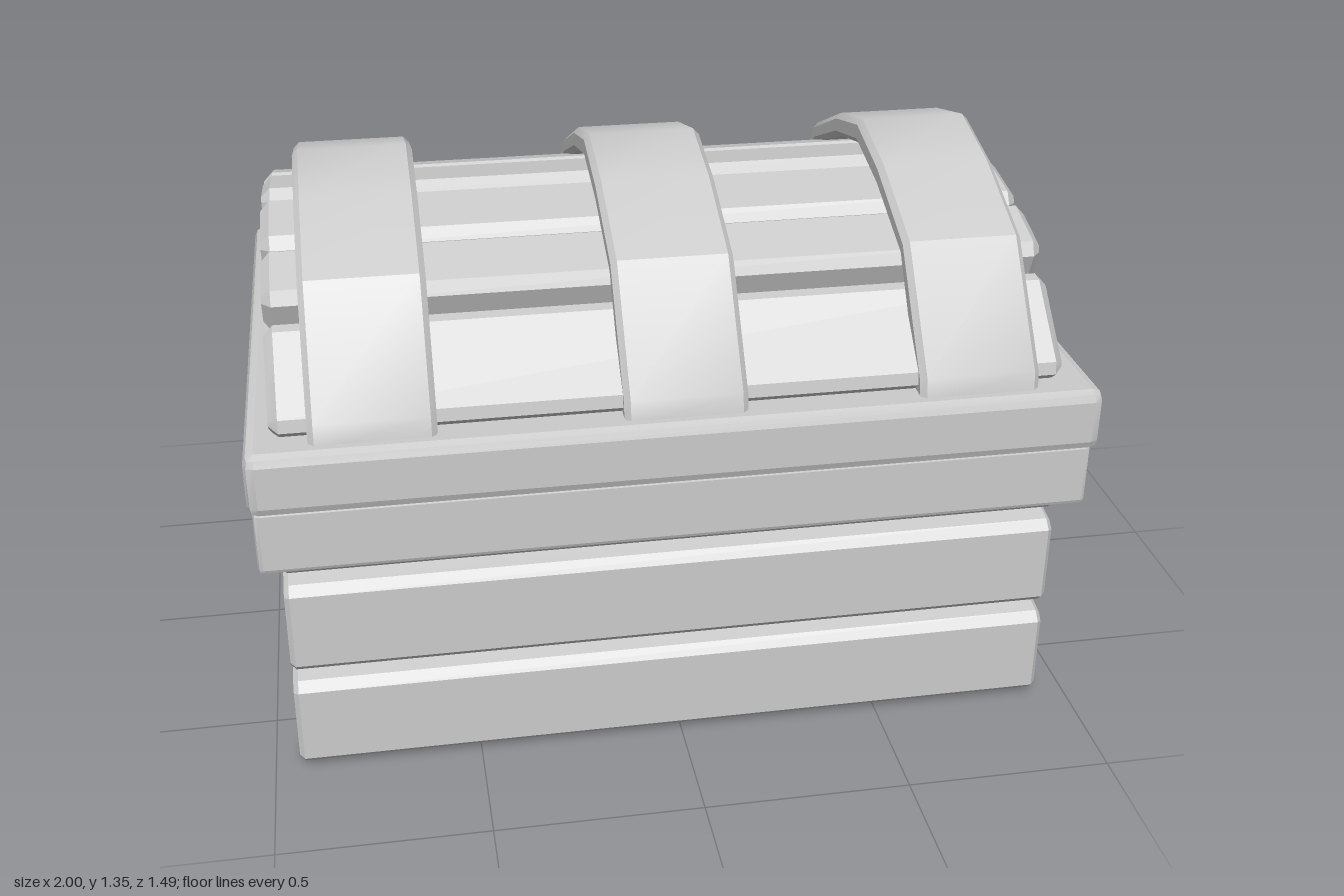
import * as THREE from 'three';
import { toCreasedNormals } from 'three/addons/utils/BufferGeometryUtils.js';
import { RoundedBoxGeometry } from 'three/addons/geometries/RoundedBoxGeometry.js';

const material = new THREE.MeshStandardMaterial({ color: 0xcccccc });

function add(parent, name, geometry) {
  const mesh = new THREE.Mesh(geometry, material);
  mesh.name = name;
  parent.add(mesh);
  return mesh;
}

// Prism running along x from a cross-section of [z, y] points, with chamfered ends
function prism(points, x0, x1, b) {
  const shape = new THREE.Shape(points.map(([z, y]) => new THREE.Vector2(-z, y)));
  const geometry = new THREE.ExtrudeGeometry(shape, {
    depth: x1 - x0 - 2 * b, bevelEnabled: b > 0, bevelSize: b, bevelThickness: b,
    bevelOffset: -b, bevelSegments: 1,
  });
  geometry.translate(0, 0, x0 + b).rotateY(Math.PI / 2);
  return toCreasedNormals(geometry, 0.5);
}

// Box with chamfered edges between two corners
function chamferBox(x0, x1, y0, y1, z0, z1, b) {
  const geometry = new RoundedBoxGeometry(x1 - x0, y1 - y0, z1 - z0, 1, b);
  geometry.translate((x0 + x1) / 2, (y0 + y1) / 2, (z0 + z1) / 2);
  return toCreasedNormals(geometry, 0.3);
}

function buildBody(group) {
  const body = new THREE.Group();
  body.name = 'body';
  group.add(body);
  add(body, 'core', new THREE.BoxGeometry(1.76, 0.7, 1.2)).position.set(-0.01, 0.36, 0.045);

  // Front and back planks with bevelled outer faces
  for (const y of [0.005, 0.275, 0.545]) {
    const h = y > 0.5 ? 0.15 : 0.262;
    const section = (zi, zo) => {
      const d = zo - zi;
      return [[zi, y], [zi + d * 0.75, y + 0.013], [zo, y + 0.035],
        [zo, y + h - 0.035], [zi + d * 0.75, y + h - 0.013], [zi, y + h]];
    };
    add(body, 'frontPlank', prism(section(0.62, 0.71), -0.94, 0.92, 0.012));
    add(body, 'backPlank', prism(section(-0.53, -0.62), -0.94, 0.92, 0.012));
  }
  // Side planks
  for (const [y0, y1] of [[0.005, 0.085], [0.092, 0.312], [0.322, 0.57]]) {
    add(body, 'leftPlank', chamferBox(0.8, 0.905, y0, y1, -0.535, 0.63, 0.018));
    add(body, 'rightPlank', chamferBox(-0.925, -0.82, y0, y1, -0.535, 0.63, 0.018));
  }
}

function buildLid(group) {
  const lid = new THREE.Group();
  lid.name = 'lid';
  group.add(lid);
  add(lid, 'lowerRim', chamferBox(-0.99, 0.985, 0.58, 0.745, -0.635, 0.725, 0.012));
  add(lid, 'upperRim', chamferBox(-1, 1, 0.735, 0.89, -0.65, 0.74, 0.025));

  // Vaulted core: its ends show as flat panels under the planks
  const inner = [[0.63, 0.87], [0.44, 1.05], [0.26, 1.105], [0.05, 1.14],
    [-0.16, 1.105], [-0.34, 1.05], [-0.53, 0.87]];
  add(lid, 'vault', prism(inner, -0.88, 0.86, 0));

  // One plank on each facet of the vault, narrowing at the top edge
  for (let i = 0; i < inner.length - 1; i++) {
    const a = new THREE.Vector2(...inner[i]);
    const b = new THREE.Vector2(...inner[i + 1]);
    const t = b.clone().sub(a).normalize();
    const n = new THREE.Vector2(t.y, -t.x);
    const steep = i === 0 || i === 5;
    const h = steep ? 0.075 : 0.11;
    const at = (p, along, out) => {
      const v = p.clone().addScaledVector(t, along).addScaledVector(n, out);
      return [v.x, v.y];
    };
    const section = [at(a, 0.008, -0.005), at(a, 0, h * 0.75), at(a, 0.025, h),
      at(b, -0.025, h), at(b, 0, h * 0.75), at(b, -0.008, -0.005)];
    add(lid, 'lidPlank', prism(section, -0.94, 0.92, 0.022));
  }
}

function buildStraps(group) {
  // Arched bands: outer edge front to back, then inner edge back to front
  const outer = [[0.7, 0.88], [0.69, 0.935], [0.49, 1.2], [0.25, 1.305], [0.05, 1.355],
    [-0.15, 1.305], [-0.38, 1.2]];
  const inner = [[-0.35, 1.155], [-0.14, 1.245], [0.05, 1.29], [0.24, 1.245],
    [0.46, 1.155], [0.62, 0.93], [0.63, 0.88]];
  const sideEnd = [[-0.59, 0.935], [-0.61, 0.88], [-0.55, 0.88], [-0.53, 0.93]];
  const middleEnd = [[-0.6, 1.005], [-0.715, 0.84], [-0.723, 0.78], [-0.68, 0.83], [-0.57, 0.985]];
  for (const x of [-0.71, 0.705]) {
    add(group, 'sideStrap', prism([...outer, ...sideEnd, ...inner], x - 0.145, x + 0.145, 0.014));
  }
  add(group, 'middleStrap', prism([...outer, ...middleEnd, ...inner], -0.14, 0.15, 0.014));
}

function buildLock(group) {
  // Upper lock plate with a keyhole, leaning outward to meet the middle strap
  const plate = new THREE.Shape([[-0.125, 0.5], [0.135, 0.5], [0.143, 0.83], [-0.133, 0.83]]
    .map(([x, y]) => new THREE.Vector2(x, y)));
  const hole = new THREE.Path();
  hole.absarc(0.005, 0.655, 0.034, -0.25 * Math.PI, 1.25 * Math.PI, false);
  hole.lineTo(-0.022, 0.545);
  hole.lineTo(0.032, 0.545);
  hole.closePath();
  plate.holes.push(hole);
  const geometry = new THREE.ExtrudeGeometry(plate, { depth: 0.07, bevelEnabled: false, curveSegments: 14 });
  geometry.translate(0, 0, -0.69);
  const p = geometry.attributes.position;
  for (let i = 0; i < p.count; i++) {
    if (p.getZ(i) < -0.65) p.setZ(i, -0.69 - 0.1 * (p.getY(i) - 0.5));
  }
  add(group, 'lockPlate', toCreasedNormals(geometry, 0.5));
  add(group, 'lockStrap', chamferBox(-0.123, 0.133, 0.01, 0.51, -0.69, -0.6, 0.008));

  // Corner brackets on the back
  for (const x of [-0.745, 0.725]) {
    add(group, 'bracket', chamferBox(x - 0.1, x + 0.1, 0.015, 0.54, -0.685, -0.6, 0.016));
  }
  // Round rivets
  const rivets = [[0.005, 0.92, -0.67], [0.005, 0.19, -0.675], [-0.745, 0.19, -0.675], [0.72, 0.19, -0.675]];
  for (const position of rivets) {
    add(group, 'rivet', new THREE.SphereGeometry(0.071, 24, 16)).position.set(...position);
  }
}

export function createModel() {
  const group = new THREE.Group();
  group.name = 'chest';
  buildBody(group);
  buildLid(group);
  buildStraps(group);
  buildLock(group);
  return group;
}
